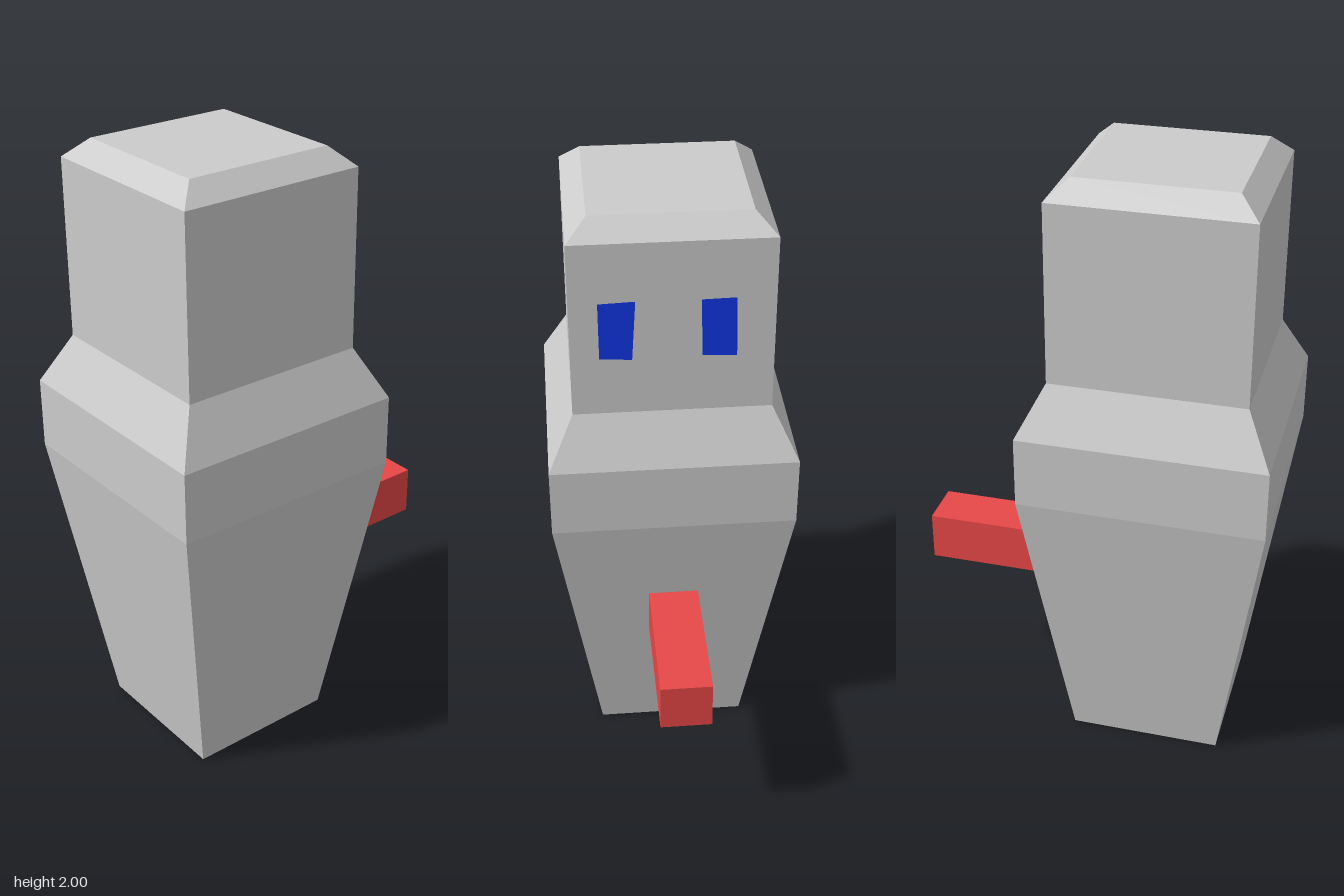
import * as THREE from 'three';

const BODY_X = -0.207;

function material(color) {
  return new THREE.MeshStandardMaterial({ color, flatShading: true });
}

function addMesh(parent, name, geometry, mat) {
  const mesh = new THREE.Mesh(geometry, mat);
  mesh.name = name;
  parent.add(mesh);
  return mesh;
}

// Square-sectioned solid from [half width, height] rings, listed bottom to top
function squareLoft(rings) {
  const points = rings.map(([half, y]) => new THREE.Vector2(half * Math.SQRT2, y));
  return new THREE.LatheGeometry(points, 4, Math.PI / 4);
}

// Flat panel facing +x, from [z, y] corners
function sidePanel(corners) {
  const shape = new THREE.Shape(corners.map(([z, y]) => new THREE.Vector2(-z, y)));
  return new THREE.ShapeGeometry(shape).rotateY(Math.PI / 2);
}

export function createModel() {
  const model = new THREE.Group();
  model.name = 'blockFigure';

  // Tapered torso, sloping shoulders and bevelled head
  const body = addMesh(model, 'body', squareLoft([
    [0, 0], [0.25, 0], [0.393, 0.97], [0.393, 1.2],
    [0.31, 1.365], [0.31, 1.94], [0.245, 2], [0, 2],
  ]), material(0xcccccc));
  body.position.x = BODY_X;

  // Bar projecting from the belly
  const bar = addMesh(model, 'bar', new THREE.BoxGeometry(0.55, 0.165, 0.165), material(0xe74747));
  bar.position.set(0.325, 0.574, 0);

  // Slightly irregular eyes, just proud of the face
  const eyes = {
    leftEye: [[-0.085, 1.75], [-0.09, 1.56], [-0.195, 1.554], [-0.191, 1.752]],
    rightEye: [[0.223, 1.748], [0.222, 1.56], [0.123, 1.554], [0.111, 1.752]],
  };
  const blue = material(0x1237e8);
  blue.side = THREE.DoubleSide;
  for (const [name, corners] of Object.entries(eyes)) {
    addMesh(model, name, sidePanel(corners), blue).position.x = BODY_X + 0.313;
  }
  return model;
}
